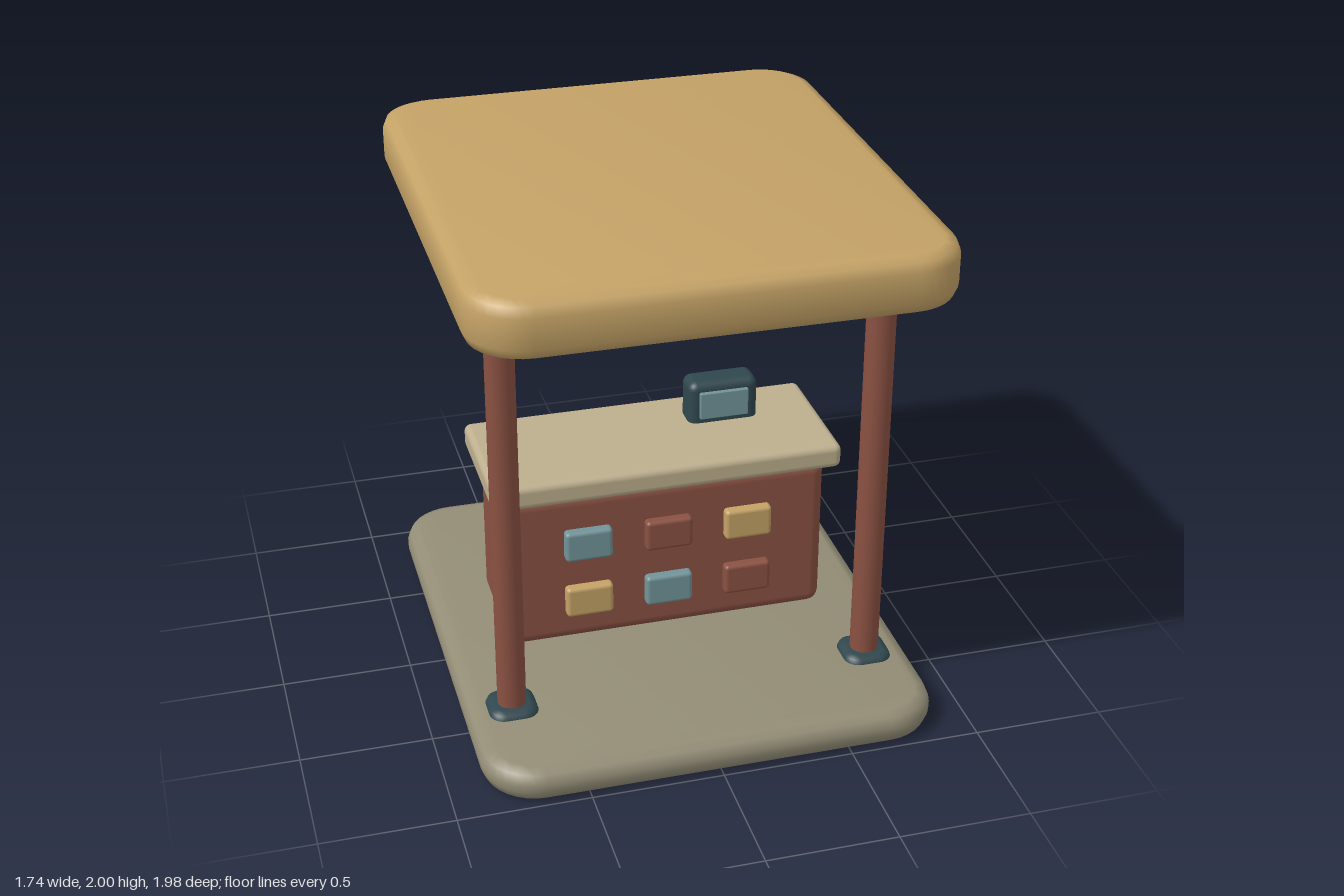
import * as THREE from 'three';
import { toCreasedNormals } from 'three/addons/utils/BufferGeometryUtils.js';
import { RoundedBoxGeometry } from 'three/addons/geometries/RoundedBoxGeometry.js';

const mat = (name, color) => {
  const m = new THREE.MeshStandardMaterial({ color });
  m.name = name;
  return m;
};

// Rounded rectangle slab with bevelled rims, lying flat from y0 to y1
function slab(w, d, y0, y1, corner, bevel) {
  const x = w / 2 - bevel, z = d / 2 - bevel, r = corner - bevel;
  const s = new THREE.Shape();
  s.moveTo(-x + r, -z);
  s.lineTo(x - r, -z);
  s.absarc(x - r, -z + r, r, -Math.PI / 2, 0, false);
  s.absarc(x - r, z - r, r, 0, Math.PI / 2, false);
  s.absarc(-x + r, z - r, r, Math.PI / 2, Math.PI, false);
  s.absarc(-x + r, -z + r, r, Math.PI, Math.PI * 1.5, false);
  const g = new THREE.ExtrudeGeometry(s, {
    depth: y1 - y0 - 2 * bevel, bevelEnabled: true, bevelSize: bevel,
    bevelThickness: bevel, bevelSegments: 2, curveSegments: 4,
  });
  g.rotateX(-Math.PI / 2);
  g.translate(0, y0 + bevel, 0);
  return toCreasedNormals(g, 0.85);
}

// Rounded box given by its limits on each axis
function block([x0, x1], [y0, y1], [z0, z1], r) {
  const g = new RoundedBoxGeometry(x1 - x0, y1 - y0, z1 - z0, 3, r);
  g.translate((x0 + x1) / 2, (y0 + y1) / 2, (z0 + z1) / 2);
  return g;
}

export function createModel() {
  const group = new THREE.Group();
  group.name = 'kiosk';
  const tan = mat('tan', 0xc4a266);
  const brick = mat('brick', 0x8a5142);
  const cream = mat('cream', 0xbdaf8e);
  const stone = mat('stone', 0x938d76);
  const slate = mat('slate', 0x30474e);
  const teal = mat('teal', 0x72949a);

  const add = (name, geometry, material, x = 0, y = 0, z = 0) => {
    const m = new THREE.Mesh(geometry, material);
    m.name = name;
    m.position.set(x, y, z);
    group.add(m);
  };

  // Floor and roof
  add('floor', slab(1.74, 1.98, 0, 0.13, 0.21, 0.05), stone);
  add('roof', slab(1.74, 1.98, 1.787, 2, 0.21, 0.05), tan);

  // Front posts with foot plates
  for (const side of [-1, 1]) {
    const label = side > 0 ? 'left' : 'right';
    add(label + 'Post', new THREE.CylinderGeometry(0.055, 0.055, 1.8, 16), brick, side * 0.7, 0.95, 0.548);
    add(label + 'Foot', slab(0.19, 0.19, 0.09, 0.156, 0.06, 0.03), slate, side * 0.7, 0, 0.548);
  }

  // Ceiling lamp, a thin disc
  add('ceilingLamp', new THREE.CylinderGeometry(0.115, 0.115, 0.008, 24), cream, 0, 1.784, 0.55);

  // Counter
  add('counterBody', block([-0.637, 0.637], [0.15, 0.8], [-0.285, 0.207], 0.05), brick);
  add('counterTop', block([-0.69, 0.69], [0.785, 0.885], [-0.32, 0.245], 0.028), cream);

  // Front panels in two rows of three
  const rows = [[teal, brick, tan], [tan, teal, brick]];
  rows.forEach((row, j) => row.forEach((m, i) => {
    const x = (i - 1) * 0.318, y = 0.59 - j * 0.25;
    add('panel', block([x - 0.093, x + 0.093], [y - 0.064, y + 0.064], [0.18, 0.245], 0.016), m);
  }));

  // Till with its screen
  add('till', block([0.165, 0.445], [0.83, 1.055], [-0.2, -0.07], 0.035), slate);
  add('tillScreen', block([0.205, 0.4], [0.908, 1.02], [-0.09, -0.053], 0.004), teal);

  return group;
}
